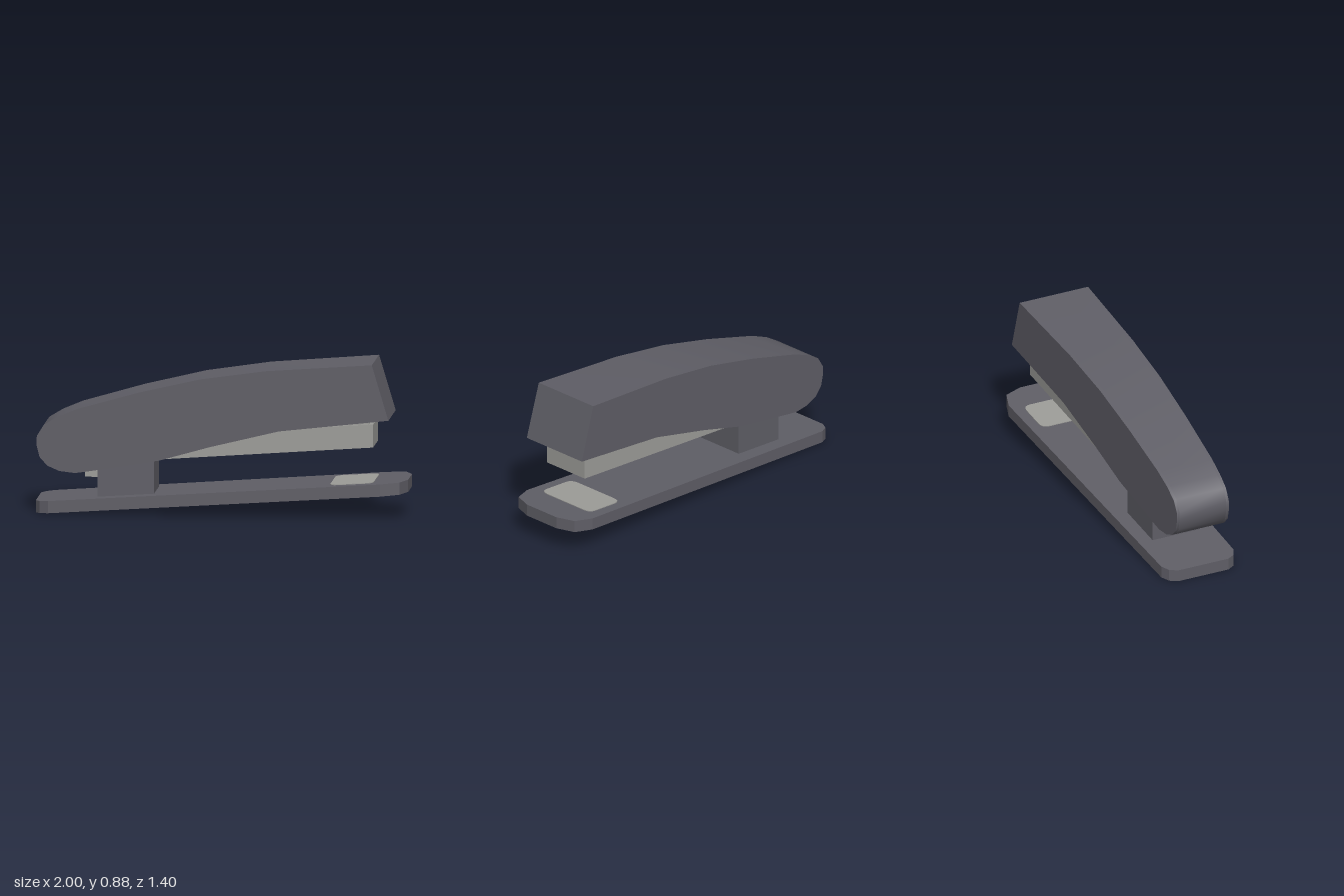
import * as THREE from 'three';
import { toCreasedNormals } from 'three/addons/utils/BufferGeometryUtils.js';

const SLOPE = 0.066; // rise of the base per unit of length
const shapeOf = (pts) => new THREE.Shape(pts.map(([x, y]) => new THREE.Vector2(x, y)));

// Side profile (length, height) extruded across the width from z0 to z1
function sideExtrude(pts, z0, z1) {
  const g = new THREE.ExtrudeGeometry(shapeOf(pts), { depth: z1 - z0, bevelEnabled: false });
  return g.translate(0, 0, z0);
}

// Plan outline lying flat, lifted to y and tilted with the base
function plate(shape, y, thick) {
  const g = new THREE.ExtrudeGeometry(shape, { depth: thick, bevelEnabled: false, curveSegments: 4 });
  g.rotateX(-Math.PI / 2);
  const p = g.attributes.position;
  for (let i = 0; i < p.count; i++) p.setY(i, p.getY(i) + y + SLOPE * p.getX(i));
  g.computeVertexNormals();
  return g;
}

// Narrow the cover toward the rear: z of 1 becomes the half width there
function taper(g) {
  const p = g.attributes.position;
  for (let i = 0; i < p.count; i++) {
    const half = 0.165 + 0.055 * (p.getX(i) + 1.065) / 2.024;
    p.setZ(i, p.getZ(i) * half);
  }
  g.computeVertexNormals();
  return toCreasedNormals(g, 0.6);
}

export function createModel() {
  const model = new THREE.Group();
  model.name = 'stapler';
  const body = new THREE.MeshStandardMaterial({ color: 0x5f5e66 });
  body.name = 'darkGrey';
  const metal = new THREE.MeshStandardMaterial({ color: 0x9c9c98 });
  metal.name = 'metalGrey';
  const add = (name, geometry, material) => {
    const m = new THREE.Mesh(geometry, material);
    m.name = name;
    model.add(m);
  };

  // Base: long tapered foot with clipped corners
  const edge = [[-1.066, 0.16], [-1.04, 0.205], [-0.99, 0.23], [0.915, 0.262], [1.022, 0.224], [1.063, 0.117]];
  const outline = [...edge, ...edge.map(([u, w]) => [u, -w]).reverse()];
  add('base', plate(shapeOf(outline), 0.07, 0.07), body);

  // Strike plate: thin rounded rectangle
  const r = 0.05, u0 = 0.62, u1 = 0.87, w = 0.195;
  const s = new THREE.Shape();
  s.moveTo(u0 + r, -w);
  s.lineTo(u1 - r, -w);
  s.quadraticCurveTo(u1, -w, u1, -w + r);
  s.lineTo(u1, w - r);
  s.quadraticCurveTo(u1, w, u1 - r, w);
  s.lineTo(u0 + r, w);
  s.quadraticCurveTo(u0, w, u0, w - r);
  s.lineTo(u0, -w + r);
  s.quadraticCurveTo(u0, -w, u0 + r, -w);
  add('strikePlate', plate(s, 0.138, 0.006), metal);

  // Hinge block between base and cover
  add('hingeBlock', sideExtrude([[-0.715, 0.08], [-0.39, 0.1], [-0.39, 0.312], [-0.715, 0.28]], -0.15, 0.15), body);
  add('hingeStub', sideExtrude([[-0.79, 0.2], [-0.7, 0.2], [-0.7, 0.28], [-0.79, 0.28]], -0.1, 0.1), metal);

  // Staple magazine and the rail above it
  add('magazine', sideExtrude([[-0.39, 0.31], [0.865, 0.397], [0.865, 0.53], [-0.39, 0.447]], -0.15, 0.15), metal);
  add('magazineRail', sideExtrude([[-0.3, 0.42], [0.84, 0.5], [0.84, 0.6], [-0.3, 0.5]], -0.135, 0.135), metal);

  // Cover: arched top with rounded rear, hollow underneath
  const upper = [
    [-0.358, 0.31], [-0.77, 0.24], [-0.84, 0.23], [-0.93, 0.24], [-1.0, 0.27], [-1.045, 0.32],
    [-1.062, 0.39], [-1.06, 0.44], [-1.02, 0.505], [-0.94, 0.553], [-0.826, 0.6], [-0.473, 0.7],
    [-0.121, 0.782], [0.25, 0.835], [0.864, 0.88], [0.959, 0.562],
  ];
  const lowerEdge = [[0.33, 0.49], [-0.065, 0.393]];
  const cavity = [[0.935, 0.56], [0.85, 0.84], [0.25, 0.795], [-0.1, 0.74], [-0.358, 0.66]];
  add('coverShell', taper(sideExtrude([...upper, ...cavity], -0.9, 0.9)), body);
  for (const [name, z0] of [['coverLeftWall', 0.9], ['coverRightWall', -1]]) {
    add(name, taper(sideExtrude([...upper, ...lowerEdge], z0, z0 + 0.1)), body);
  }

  // Turn the length toward the front left
  model.rotation.y = -Math.PI / 6;
  const root = new THREE.Group();
  root.name = 'staplerModel';
  root.add(model);
  return root;
}
